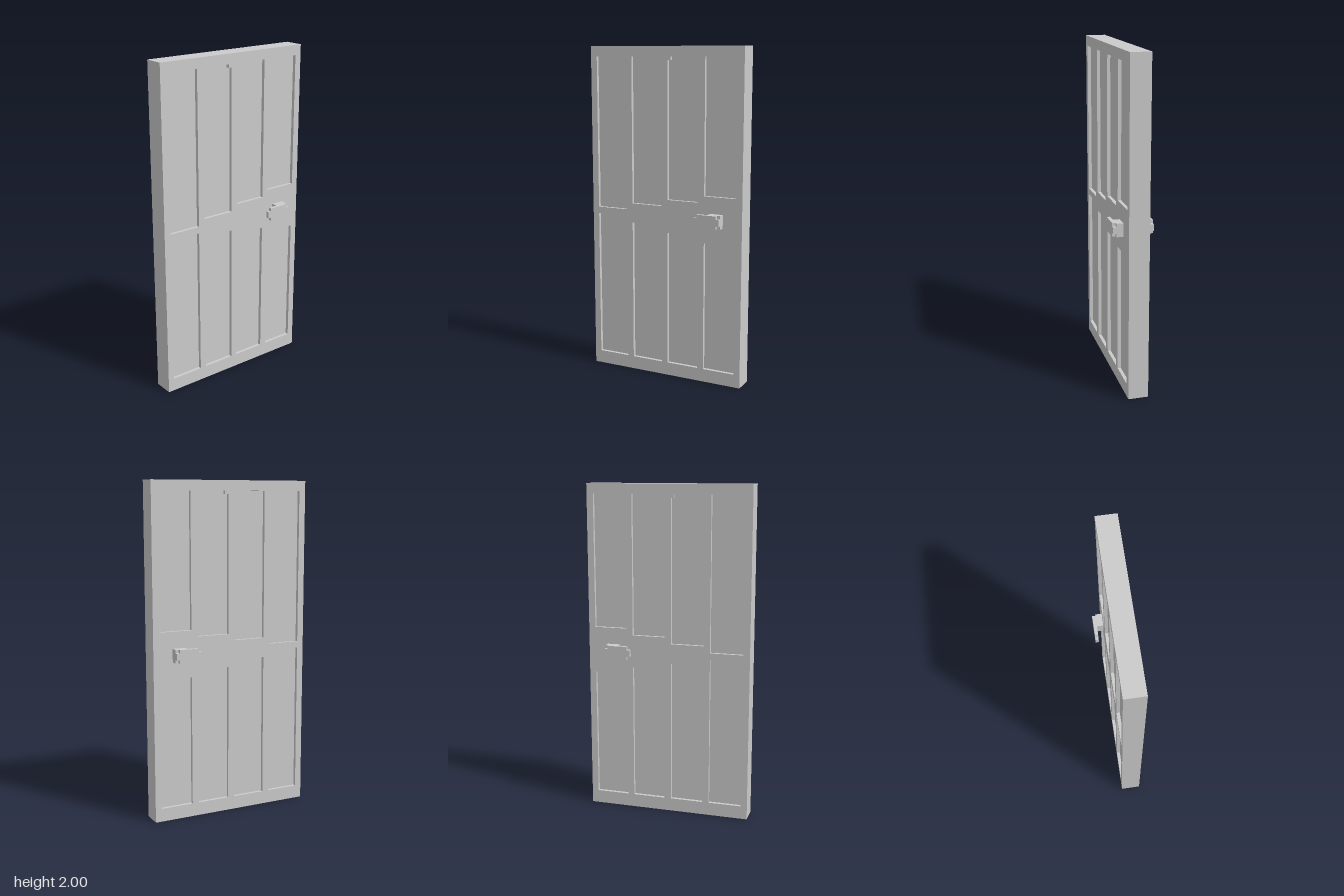
import * as THREE from 'three';

const material = new THREE.MeshStandardMaterial({ color: 0xcccccc, flatShading: true });
const STEP = 0.02;

function addMesh(parent, name, geometry, x = 0, y = 0, z = 0) {
  const mesh = new THREE.Mesh(geometry, material);
  mesh.name = name;
  mesh.position.set(x, y, z);
  parent.add(mesh);
  return mesh;
}

const polygon = (points) => points.map(([x, y]) => new THREE.Vector2(x, y));
const rectangle = (x0, y0, x1, y1) => polygon([[x0, y0], [x1, y0], [x1, y1], [x0, y1]]);
const extrude = (shape, depth) => new THREE.ExtrudeGeometry(shape, { depth, bevelEnabled: false });

// Raised frame around eight sunken panels; the middle rail widens towards the handle
function frameGeometry() {
  const shape = new THREE.Shape(rectangle(-0.5, 0, 0.5, 2));
  for (let i = 0; i < 4; i++) {
    const x0 = -0.46 + i * 0.24, x1 = x0 + 0.2;
    const gap = 0.02 + i * 0.04;
    const top = 1.94, bottom = 1 + gap;
    let upper = rectangle(x0, bottom, x1, top);
    // The two middle panels have a small filled block in their inner top corner
    if (i === 1) {
      upper = polygon([[x0, bottom], [x1, bottom], [x1, top - STEP],
        [x1 - STEP, top - STEP], [x1 - STEP, top], [x0, top]]);
    } else if (i === 2) {
      upper = polygon([[x0, bottom], [x1, bottom], [x1, top],
        [x0 + STEP, top], [x0 + STEP, top - STEP], [x0, top - STEP]]);
    }
    shape.holes.push(new THREE.Path(upper));
    shape.holes.push(new THREE.Path(rectangle(x0, 0.08, x1, 1 - gap)));
  }
  return extrude(shape, STEP);
}

// Lever plate with its four corners notched
function leverGeometry() {
  const [x0, x1, y0, y1, s] = [0.22, 0.38, 0.96, 1.04, STEP];
  return extrude(new THREE.Shape(polygon([
    [x0 + s, y0], [x1 - s, y0], [x1 - s, y0 + s], [x1, y0 + s],
    [x1, y1 - s], [x1 - s, y1 - s], [x1 - s, y1], [x0 + s, y1],
    [x0 + s, y1 - s], [x0, y1 - s], [x0, y0 + s], [x0 + s, y0 + s],
  ])), STEP);
}

export function createModel() {
  const door = new THREE.Group();
  door.name = 'door';

  // Core slab, whose faces are the sunken panels
  addMesh(door, 'doorCore', new THREE.BoxGeometry(1, 2, 0.08), 0, 1, 0);

  // Frame and handle on both faces
  const frame = frameGeometry();
  const lever = leverGeometry();
  const stem = new THREE.BoxGeometry(0.08, 0.08, 0.04);
  for (const [side, sign] of [['front', 1], ['back', -1]]) {
    addMesh(door, side + 'Frame', frame, 0, 0, sign > 0 ? 0.04 : -0.06);

    const handle = new THREE.Group();
    handle.name = side + 'Handle';
    addMesh(handle, side + 'HandleStem', stem, 0.34, 1, sign * 0.08);
    addMesh(handle, side + 'HandleLever', lever, 0, 0, sign > 0 ? 0.1 : -0.12);
    door.add(handle);
  }
  return door;
}
